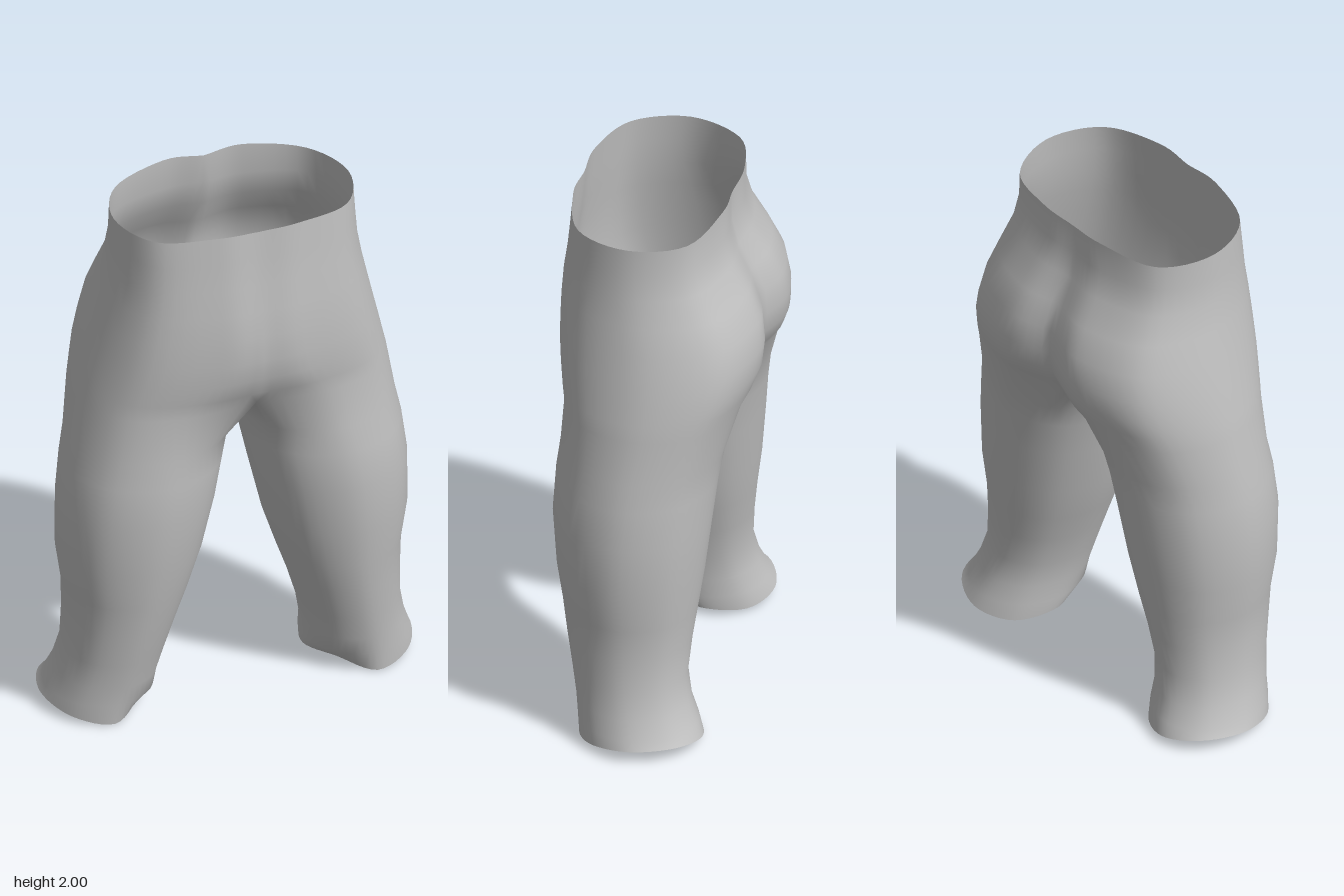
import * as THREE from 'three';
import { mergeVertices } from 'three/addons/utils/BufferGeometryUtils.js';

const K = 6;            // samples between control points
const OUTER = 6 * K;    // front centre, round the outside, to back centre
const RING = 8 * K;     // full loop including the inner leg
const V = (x, y, z) => new THREE.Vector3(x, y, z);

// Hip sections: y, half width, front peak x, back peak x, front z, front centre z, back z, back centre z
const HIPS = [
  [1.98, 0.44, 0.15, 0.15, 0.32, 0.32, -0.22, -0.215],
  [1.88, 0.445, 0.15, 0.15, 0.33, 0.33, -0.222, -0.216],
  [1.78, 0.455, 0.15, 0.16, 0.34, 0.342, -0.25, -0.24],
  [1.68, 0.478, 0.15, 0.17, 0.354, 0.357, -0.31, -0.285],
  [1.58, 0.505, 0.15, 0.18, 0.362, 0.368, -0.358, -0.32],
  [1.48, 0.53, 0.16, 0.19, 0.362, 0.37, -0.372, -0.325],
  [1.4, 0.55, 0.18, 0.2, 0.352, 0.357, -0.366, -0.315],
  [1.33, 0.565, 0.22, 0.22, 0.335, 0.335, -0.342, -0.285],
  [1.27, 0.578, 0.27, 0.25, 0.313, 0.295, -0.312, -0.235],
];

// Leg sections: y, inner x, outer x, front z, back z
const LEGS = [
  [1.1, 0.02, 0.605, 0.315, -0.265],
  [1.0, 0.045, 0.625, 0.325, -0.25],
  [0.85, 0.077, 0.643, 0.33, -0.235],
  [0.65, 0.125, 0.645, 0.31, -0.215],
  [0.5, 0.175, 0.622, 0.285, -0.195],
  [0.38, 0.218, 0.62, 0.265, -0.18],
  [0.25, 0.258, 0.625, 0.24, -0.17],
  [0.15, 0.28, 0.648, 0.22, -0.19],
  [0.08, 0.285, 0.675, 0.21, -0.22],
  [0.0, 0.295, 0.69, 0.2, -0.24],
];
// Uneven hem: height of each control point round the last section
const HEM = [0.03, 0, 0.025, 0.05, 0.055, 0.03, 0.015, 0.03];

function hipSection([y, w, px, qx, zf, zF, zb, zB], top) {
  const zc = (zf + zb) / 2, rz = (zf - zb) / 2;
  const lift = top ? 0.02 : 0;
  const curve = new THREE.CatmullRomCurve3([
    V(0, y + lift / 4, zF), V(px, y + lift / 2, zf),
    V(px + 0.72 * (w - px), y, zc + 0.73 * rz), V(w, y, zc),
    V(qx + 0.72 * (w - qx), y, zc - 0.73 * rz),
    V(qx, y + lift, zb), V(0, y + lift / 2, zB),
  ], false, 'catmullrom');
  return Array.from({ length: OUTER + 1 }, (_, i) => curve.getPoint(i / OUTER));
}

function legSection([y, xi, xo, zf, zb], hem) {
  const cx = (xi + xo) / 2, rx = (xo - xi) / 2;
  const cz = (zf + zb) / 2, rz = (zf - zb) / 2;
  const points = HEM.map((dy, i) => {
    const a = (i - 1) * Math.PI / 4;
    const p = V(cx + rx * Math.sin(a), y, cz + rz * Math.cos(a));
    if (hem) p.y += dy;
    return p;
  });
  if (hem) points[0].add(V(0.02, 0, -0.03)); // small tuck at the front of the cuff
  const curve = new THREE.CatmullRomCurve3(points, true, 'catmullrom');
  return Array.from({ length: RING }, (_, i) => curve.getPoint(i / RING));
}

function trouserGeometry() {
  const rows = HIPS.map((h, i) => hipSection(h, i === 0));

  // The last hip section gains the crotch seam, closing it into the top of a leg
  const join = rows[rows.length - 1];
  const seam = new THREE.CatmullRomCurve3(
    [join[OUTER].clone(), V(0, 1.18, 0.02), join[0].clone()], false, 'catmullrom');
  for (let i = 1; i < 2 * K; i++) join.push(seam.getPoint(i / (2 * K)));
  LEGS.forEach((l, i) => rows.push(legSection(l, i === LEGS.length - 1)));

  const positions = [], index = [];
  for (const side of [1, -1]) {
    const starts = rows.map((row) => {
      const start = positions.length / 3;
      row.forEach((p) => positions.push(side * Math.max(0, p.x), p.y, p.z));
      return start;
    });
    for (let r = 0; r < rows.length - 1; r++) {
      const closed = r >= HIPS.length - 1;
      const count = closed ? RING : OUTER;
      for (let i = 0; i < count; i++) {
        const j = closed ? (i + 1) % RING : i + 1;
        const a = starts[r] + i, b = starts[r] + j;
        const c = starts[r + 1] + i, d = starts[r + 1] + j;
        if (side > 0) index.push(a, c, b, b, c, d);
        else index.push(a, b, c, b, d, c);
      }
    }
  }
  let geometry = new THREE.BufferGeometry();
  geometry.setAttribute('position', new THREE.Float32BufferAttribute(positions, 3));
  geometry.setIndex(index);
  geometry = mergeVertices(geometry, 1e-4); // welds the two halves along the centre
  geometry.computeVertexNormals();
  return geometry;
}

export function createModel() {
  const cloth = new THREE.MeshStandardMaterial({ color: 0xbfbfbf, side: THREE.DoubleSide });
  cloth.name = 'grey cloth';

  const trousers = new THREE.Mesh(trouserGeometry(), cloth);
  trousers.name = 'trousers';

  const model = new THREE.Group();
  model.name = 'trousersModel';
  model.add(trousers);
  return model;
}
